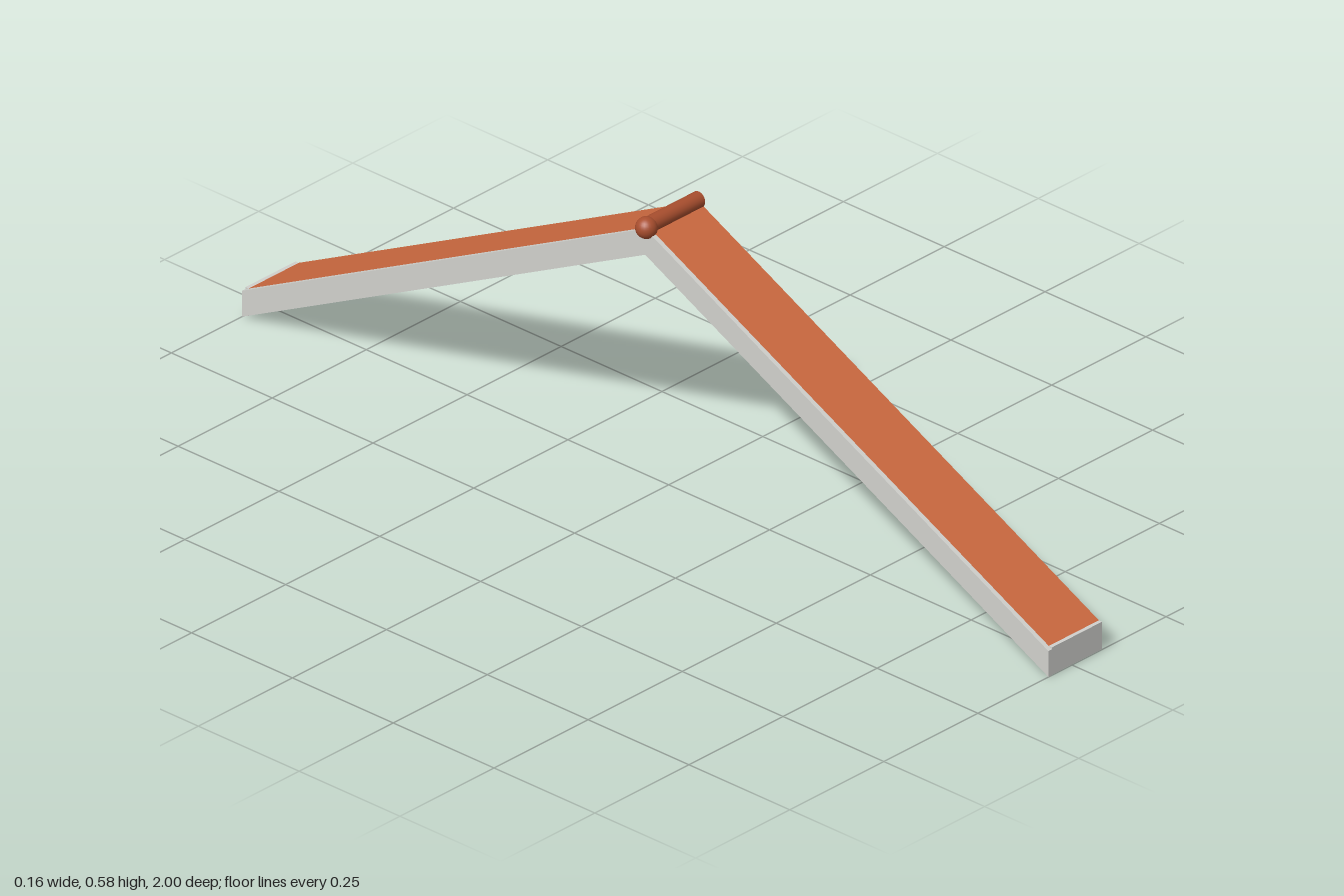
import * as THREE from 'three';

const LEFT = 0.08, RIGHT = -0.0625, TRIM = 0.0095; // x limits and trim width
const EAVE = 0.0535, SLOPE = 0.5;                  // roof line: y = EAVE + SLOPE * (1 - |z|)

function material(name, color) {
  const m = new THREE.MeshStandardMaterial({ color });
  m.name = name;
  return m;
}

// Bent strip following both slopes, between two depths below the roof line
function gableStrip(x0, x1, top, bottom, reach) {
  const y = (z, drop) => EAVE + SLOPE * (1 - z) - drop;
  const shape = new THREE.Shape([
    [-reach, y(reach, bottom)], [0, y(0, bottom)], [reach, y(reach, bottom)],
    [reach, y(reach, top)], [0, y(0, top)], [-reach, y(reach, top)],
  ].map(([z, h]) => new THREE.Vector2(z, h)));
  const geo = new THREE.ExtrudeGeometry(shape, { depth: x1 - x0, bevelEnabled: false });
  geo.rotateY(Math.PI / 2);
  geo.translate(x0, 0, 0);
  return geo;
}

export function createModel() {
  const group = new THREE.Group();
  const trim = material('light grey trim', 0xd0d0cc);
  const tile = material('terracotta roof', 0xcb683f);
  const ridge = material('dark terracotta ridge', 0xa84e2e);

  const add = (name, geo, mat) => {
    const mesh = new THREE.Mesh(geo, mat);
    mesh.name = name;
    group.add(mesh);
    return mesh;
  };

  // Roof covering on top of the deck
  add('roofCovering', gableStrip(RIGHT + TRIM, LEFT, 0, 0.003, 0.992), tile);
  add('roofDeck', gableStrip(RIGHT + TRIM, LEFT, 0.003, 0.032, 0.992), trim);

  // Deeper board closing the gable end
  add('gableBoard', gableStrip(RIGHT, RIGHT + TRIM, 0, EAVE, 1), trim);

  // Upright boards along both eaves
  for (const side of [1, -1]) {
    const x0 = RIGHT + TRIM;
    const board = add(side > 0 ? 'frontEaveBoard' : 'backEaveBoard',
      new THREE.BoxGeometry(LEFT - x0, 0.0565, 0.008), trim);
    board.position.set((LEFT + x0) / 2, 0.001 + 0.0565 / 2, side * 0.996);
  }

  // Ridge cap with a ball at the gable end
  const cap = add('ridgeCap', new THREE.CylinderGeometry(0.016, 0.016, 0.14, 24), ridge);
  cap.rotation.z = Math.PI / 2;
  cap.position.set(0.01, 0.558, 0);
  const ball = add('ridgeBall', new THREE.SphereGeometry(0.021, 24, 16), ridge);
  ball.position.set(-0.059, 0.555, 0);

  return group;
}
